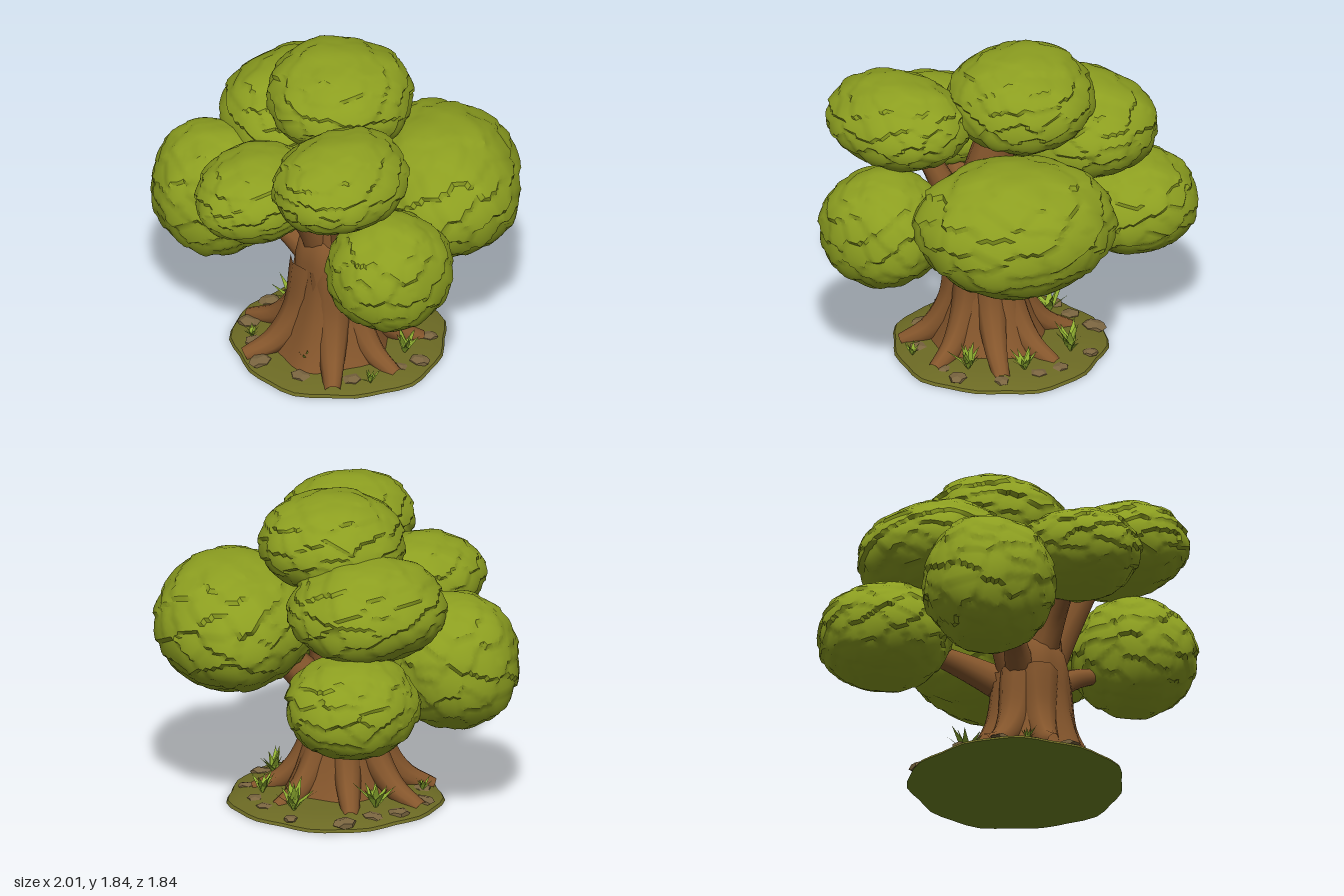
import * as THREE from 'three';
import { toCreasedNormals } from 'three/addons/utils/BufferGeometryUtils.js';

const V = (a) => new THREE.Vector3(...a);
const mat = (name, color, side = THREE.FrontSide) => {
  const m = new THREE.MeshStandardMaterial({ color, side });
  m.name = name;
  return m;
};

// small seeded random
function seeded(seed) {
  let s = seed * 7919 + 17;
  return () => (s = (s * 16807) % 2147483647) / 2147483647;
}

// move every vertex of a geometry by a rule
function warp(geo, rule) {
  const p = geo.attributes.position, v = new THREE.Vector3();
  for (let i = 0; i < p.count; i++) {
    v.fromBufferAttribute(p, i);
    rule(v, i);
    p.setXYZ(i, v.x, v.y, v.z);
  }
  return geo;
}

const finish = (geo, angle) => toCreasedNormals(geo.index ? geo.toNonIndexed() : geo, angle);

// ellipsoid of foliage: soft lumps, covered in scattered clumps that stick out at their lower edge
function foliage(radii, seed) {
  const rnd = seeded(seed);
  const ph = Array.from({ length: 6 }, () => rnd() * Math.PI * 2);
  const COUNT = 90;
  const clumps = Array.from({ length: COUNT }, (_, i) => {
    const y = 1 - (2 * (i + 0.5)) / COUNT, a = i * 2.39996 + rnd() * 0.5, r = Math.sqrt(1 - y * y);
    return new THREE.Vector3(r * Math.cos(a), y + (rnd() - 0.5) * 0.1, r * Math.sin(a)).normalize();
  });
  const geo = new THREE.IcosahedronGeometry(1, 17);
  warp(geo, (v) => {
    let best = clumps[0], near = 9;
    for (const c of clumps) {
      const d = c.distanceToSquared(v);
      if (d < near) [near, best] = [d, c];
    }
    const drop = THREE.MathUtils.clamp((best.y - v.y) / 0.2, -1, 1);
    const lump = Math.sin(v.x * 4.2 + ph[0]) * Math.sin(v.y * 4 + ph[1])
      + Math.sin(v.z * 4.6 + ph[2]) * Math.sin(v.x * 3.5 + ph[3])
      + 0.7 * Math.sin(v.z * 9 + ph[4]) * Math.sin(v.x * 9 + ph[5]);
    v.multiplyScalar(0.975 + 0.018 * lump + 0.03 * drop).multiply(V(radii));
  });
  return finish(geo, 0.65);
}

// tube along a curve, tapering from r0 to r1
function limb(points, r0, r1) {
  const N = 14, R = 10;
  const curve = new THREE.CatmullRomCurve3(points.map(V));
  const geo = new THREE.TubeGeometry(curve, N, 1, R);
  warp(geo, (v, i) => {
    const t = Math.floor(i / (R + 1)) / N;
    const k = (i % (R + 1)) % R;
    const c = curve.getPointAt(t);
    v.sub(c).multiplyScalar((r0 + (r1 - r0) * t) * (1 + 0.06 * Math.sin(k * 2.1 + t * 2))).add(c);
    v.y = Math.max(v.y, 0.012);
  });
  return finish(geo, 1.1);
}

export function createModel() {
  const model = new THREE.Group();
  const leaf = mat('leafGreen', 0x8c9e20);
  const bark = mat('barkBrown', 0x85562c);
  const soil = mat('mossySoil', 0x6c6a24);
  const under = mat('undersideGreen', 0x6f8622);
  const stone = mat('stoneBrown', 0x7a6540);
  const blade = mat('grassGreen', 0x8fae30, THREE.DoubleSide);
  const add = (name, geo, material, pos = [0, 0, 0]) => {
    const m = new THREE.Mesh(geo, material);
    m.name = name;
    m.position.set(...pos);
    model.add(m);
    return m;
  };

  // crown: centre, radii, turn
  [
    ['crownTop', [-0.07, 1.56, -0.08], [0.42, 0.29, 0.42]],
    ['crownUpperLeft', [0.39, 1.45, 0.44], [0.35, 0.26, 0.43]],
    ['crownFront', [-0.12, 1.21, 0.55], [0.33, 0.25, 0.39]],
    ['crownLowRight', [-0.63, 0.91, 0.32], [0.38, 0.4, 0.38]],
    ['crownUpperRight', [-0.45, 1.28, -0.18], [0.42, 0.3, 0.47]],
    ['crownBackRight', [-0.6, 0.81, -0.43], [0.38, 0.3, 0.39]],
    ['crownBackLeft', [0.41, 1.05, -0.39], [0.57, 0.39, 0.46], -Math.PI / 4],
    ['crownLowLeft', [0.66, 0.92, 0.34], [0.35, 0.35, 0.37]],
  ].forEach(([name, c, r, turn = 0], i) => {
    add(name, foliage(r, i + 3), leaf, c).rotation.y = turn;
  });

  // trunk: lathe with soft lobes
  const profile = [[0.33, 0.02], [0.3, 0.08], [0.26, 0.18], [0.225, 0.3], [0.2, 0.42],
    [0.19, 0.55], [0.19, 0.66], [0.17, 0.76], [0.12, 0.84], [0, 0.87]];
  const trunk = new THREE.LatheGeometry(profile.map((p) => new THREE.Vector2(...p)), 40);
  warp(trunk, (v) => {
    const a = Math.atan2(v.z, v.x);
    const k = 1 + 0.05 * Math.cos(a * 5 + v.y * 1.5);
    v.x = v.x * k + 0.035;
    v.z = v.z * k * 1.1 + 0.1;
  });
  add('trunk', finish(trunk, 1.1), bark);

  // roots: end x, end z, thickness
  [[-0.5, 0.18, 0.12], [-0.26, 0.5, 0.14], [0.34, 0.45, 0.14], [0.5, 0.1, 0.12],
    [0.37, -0.27, 0.11], [0.05, -0.4, 0.12], [-0.35, -0.21, 0.12]].forEach(([x, z, r]) => {
    const at = (f, y) => [0.035 + (x - 0.035) * f, y, 0.1 + (z - 0.1) * f];
    add('root', limb([at(0.2, 0.6), at(0.36, 0.3), at(0.65, 0.11), at(1, 0.025)], r, 0.045), bark);
  });

  // branches reaching into the crown
  [
    [[-0.06, 0.58, 0.12], [-0.26, 0.75, 0.2], [-0.52, 0.8, 0.29], 0.09, 0.03],
    [[-0.06, 0.62, 0.08], [-0.17, 0.86, 0.05], [-0.27, 1.15, -0.05], 0.1, 0.055],
    [[-0.04, 0.56, 0.02], [-0.2, 0.7, -0.18], [-0.42, 0.8, -0.36], 0.1, 0.045],
    [[0.06, 0.55, 0.08], [0.08, 0.9, 0.1], [0, 1.45, 0], 0.18, 0.11],
    [[0.02, 0.65, 0.13], [0, 0.93, 0.27], [-0.08, 1.15, 0.48], 0.11, 0.05],
    [[0.1, 0.6, 0.1], [0.21, 0.92, 0.18], [0.31, 1.32, 0.36], 0.11, 0.05],
    [[0.08, 0.52, 0.12], [0.29, 0.69, 0.2], [0.56, 0.79, 0.29], 0.09, 0.03],
    [[0.08, 0.56, 0.02], [0.19, 0.78, -0.15], [0.36, 1.0, -0.38], 0.12, 0.06],
  ].forEach(([a, b, c, r0, r1]) => add('branch', limb([a, b, c], r0, r1), bark));

  // ground: low mound with uneven rim, and its flat underside
  const rim = (v) => {
    const a = Math.atan2(v.z, v.x);
    const k = 1 + 0.02 * Math.sin(a * 5 + 1) + 0.015 * Math.sin(a * 11);
    v.x *= k;
    v.z *= k;
  };
  const mound = [[0.6, 0.004], [0.59, 0.02], [0.53, 0.042], [0.4, 0.055], [0, 0.07]]
    .map((p) => new THREE.Vector2(...p));
  add('ground', finish(warp(new THREE.LatheGeometry(mound, 44), rim), 0.6), soil, [0.015, 0, 0.015]);
  const base = new THREE.CircleGeometry(0.6, 44).rotateX(Math.PI / 2);
  add('groundUnderside', finish(warp(base, rim), 0.5), under, [0.015, 0.004, 0.015]);

  // flat stones around the rim
  const rnd = seeded(5);
  for (let i = 0; i < 15; i++) {
    const a = (i / 15) * Math.PI * 2 + rnd() * 0.3, d = 0.45 + rnd() * 0.08;
    const s = 0.04 + rnd() * 0.025;
    const m = add('stone', new THREE.DodecahedronGeometry(s), stone, [d * Math.cos(a), 0.04, d * Math.sin(a)]);
    m.scale.set(1.2, 0.45, 1);
    m.rotation.y = rnd() * 6;
  }

  // grass tufts: x, z, height
  [[0.42, -0.07, 0.17], [-0.37, -0.04, 0.17], [-0.09, -0.4, 0.19], [0.09, 0.38, 0.13], [-0.33, 0.36, 0.08],
    [0.24, -0.33, 0.13], [0.47, 0.28, 0.09]].forEach(([x, z, h]) => {
    const pts = [];
    for (let i = 0; i < 11; i++) {
      const a = i * 0.6 + rnd() * 0.4, lean = h * (0.2 + 0.6 * rnd()), w = 0.13 * h;
      const c = Math.cos(a), s = Math.sin(a), top = h * (0.6 + 0.4 * rnd());
      const l = [-s * w + c * lean * 0.3, top * 0.45, c * w + s * lean * 0.3];
      const r = [s * w + c * lean * 0.3, top * 0.45, -c * w + s * lean * 0.3];
      pts.push(0, 0, 0, ...l, ...r, ...l, c * lean, top, s * lean, ...r);
    }
    const geo = new THREE.BufferGeometry();
    geo.setAttribute('position', new THREE.Float32BufferAttribute(pts, 3));
    geo.computeVertexNormals();
    add('grassTuft', geo, blade, [x, 0.045, z]);
  });

  return model;
}
